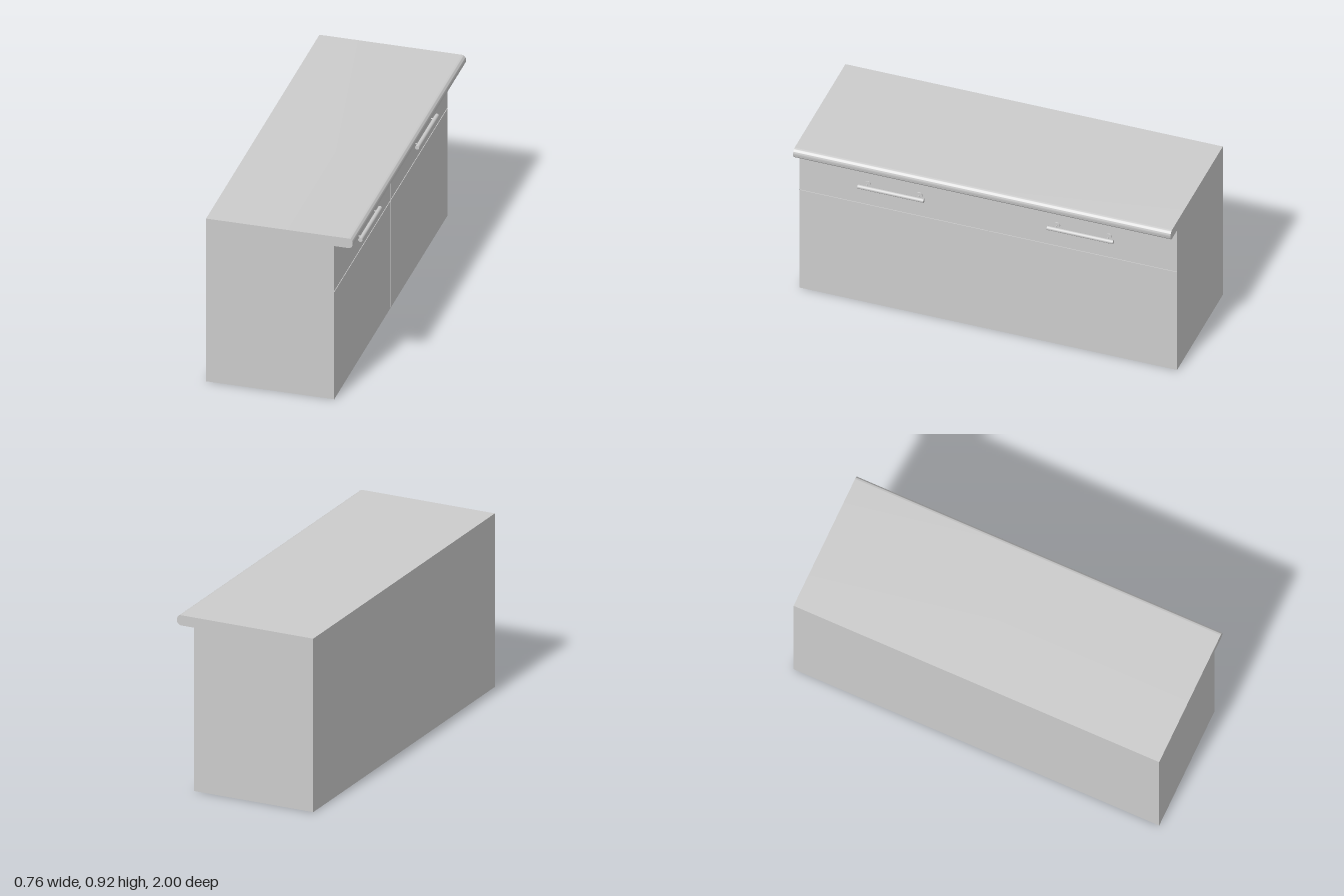
import * as THREE from 'three';
import { toCreasedNormals } from 'three/addons/utils/BufferGeometryUtils.js';

const BACK = -0.38, FRONT = 0.285, NOSE = 0.38;
const UNDER = 0.868, TOP = 0.922, GAP = 0.006, SKIN = 0.004;

export function createModel() {
  const group = new THREE.Group();
  const mat = new THREE.MeshStandardMaterial({ color: 0xcccccc });
  const sheet = new THREE.MeshStandardMaterial({ color: 0xcccccc, side: THREE.DoubleSide });

  const add = (name, geometry, parent = group, material = mat) => {
    const mesh = new THREE.Mesh(geometry, material);
    mesh.name = name;
    parent.add(mesh);
    return mesh;
  };

  // Countertop: slab with a rounded front nose, run along z
  const r = 0.022;
  const profile = new THREE.Shape();
  profile.moveTo(BACK, UNDER);
  profile.lineTo(NOSE - r, UNDER);
  profile.absarc(NOSE - r, UNDER + r, r, -Math.PI / 2, 0, false);
  profile.absarc(NOSE - r, TOP - r, r, 0, Math.PI / 2, false);
  profile.lineTo(BACK, TOP);
  const slab = new THREE.ExtrudeGeometry(profile, { depth: 2, bevelEnabled: false, curveSegments: 8 });
  slab.translate(0, 0, -1);
  add('countertop', toCreasedNormals(slab, 0.6));

  // Carcass: thin sheets, open underneath
  const depth = FRONT - BACK;
  for (const s of [1, -1]) {
    const side = add(s > 0 ? 'leftSidePanel' : 'rightSidePanel', new THREE.PlaneGeometry(depth, UNDER), group, sheet);
    side.position.set((FRONT + BACK) / 2, UNDER / 2, s);
    if (s < 0) side.rotation.y = Math.PI;
  }
  const back = add('backPanel', new THREE.PlaneGeometry(2, UNDER), group, sheet);
  back.rotation.y = -Math.PI / 2;
  back.position.set(BACK, UNDER / 2, 0);
  const backing = add('frontBacking', new THREE.PlaneGeometry(2, UNDER), group, sheet);
  backing.rotation.y = Math.PI / 2;
  backing.position.set(FRONT - SKIN, UNDER / 2, 0);

  // Door and drawer fronts, separated by narrow grooves
  const panel = (name, y0, y1, s) => {
    const width = 1 - GAP / 2;
    const mesh = add(name, new THREE.BoxGeometry(SKIN, y1 - y0, width));
    mesh.position.set(FRONT - SKIN / 2, (y0 + y1) / 2, s * (1 - width / 2));
  };

  // Bar handle: round bar on two stems with wall discs
  const rod = (name, radius, length, parent) =>
    add(name, new THREE.CylinderGeometry(radius, radius, length, 20), parent);
  const handle = (s) => {
    const g = new THREE.Group();
    g.name = 'drawerHandle';
    g.position.set(FRONT, 0.74, s * 0.502);
    const bar = rod('handleBar', 0.011, 0.35, g);
    bar.rotation.x = Math.PI / 2;
    bar.position.x = 0.04;
    for (const e of [1, -1]) {
      const disc = rod('handleDisc', 0.016, 0.007, g);
      disc.rotation.z = -Math.PI / 2;
      disc.position.set(0.0035, 0, e * 0.137);
      const stem = rod('handleStem', 0.003, 0.036, g);
      stem.rotation.z = -Math.PI / 2;
      stem.position.set(0.02, 0, e * 0.137);
    }
    group.add(g);
  };

  for (const s of [1, -1]) {
    panel('doorFront', 0, 0.61 - GAP / 2, s);
    panel('drawerFront', 0.61 + GAP / 2, UNDER, s);
    handle(s);
  }
  return group;
}
